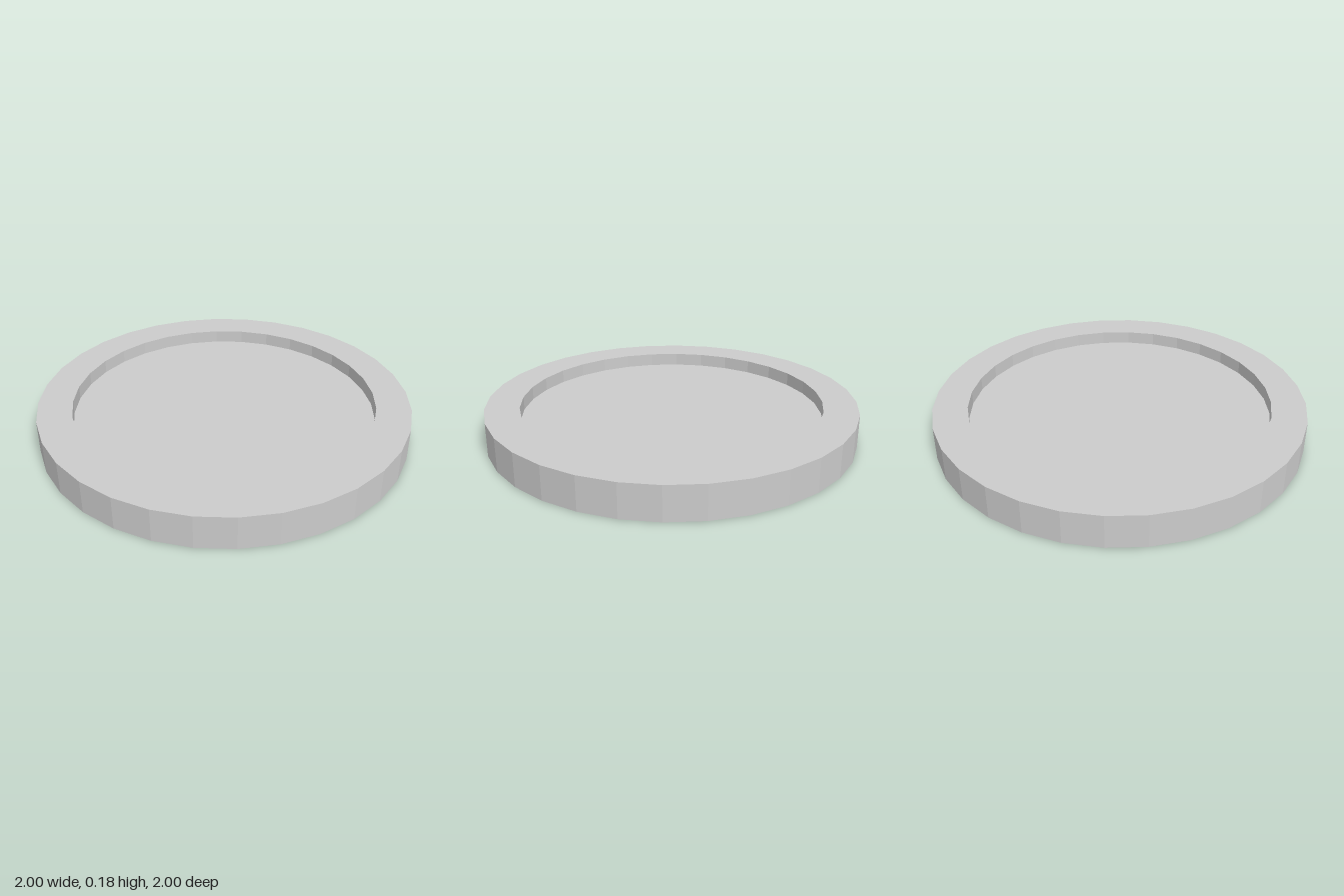
import * as THREE from 'three';

const SIDES = 32;
const OUTER = 1;
const INNER = 0.815;
const HEIGHT = 0.18;
const FLOOR = 0.036;

export function createModel() {
  const model = new THREE.Group();
  model.name = 'recessedDisc';
  const material = new THREE.MeshStandardMaterial({ color: 0xcccccc, flatShading: true });

  // Outer ring with a rectangular cross-section
  const section = [
    [INNER, 0], [OUTER, 0], [OUTER, HEIGHT], [INNER, HEIGHT], [INNER, 0],
  ].map(([r, y]) => new THREE.Vector2(r, y));
  const rim = new THREE.Mesh(new THREE.LatheGeometry(section, SIDES), material);
  rim.name = 'rim';
  model.add(rim);

  // Thin plate at mid-height, recessed on both faces
  const plate = new THREE.Mesh(new THREE.CylinderGeometry(INNER, INNER, FLOOR, SIDES), material);
  plate.name = 'plate';
  plate.position.y = HEIGHT / 2;
  model.add(plate);

  return model;
}
